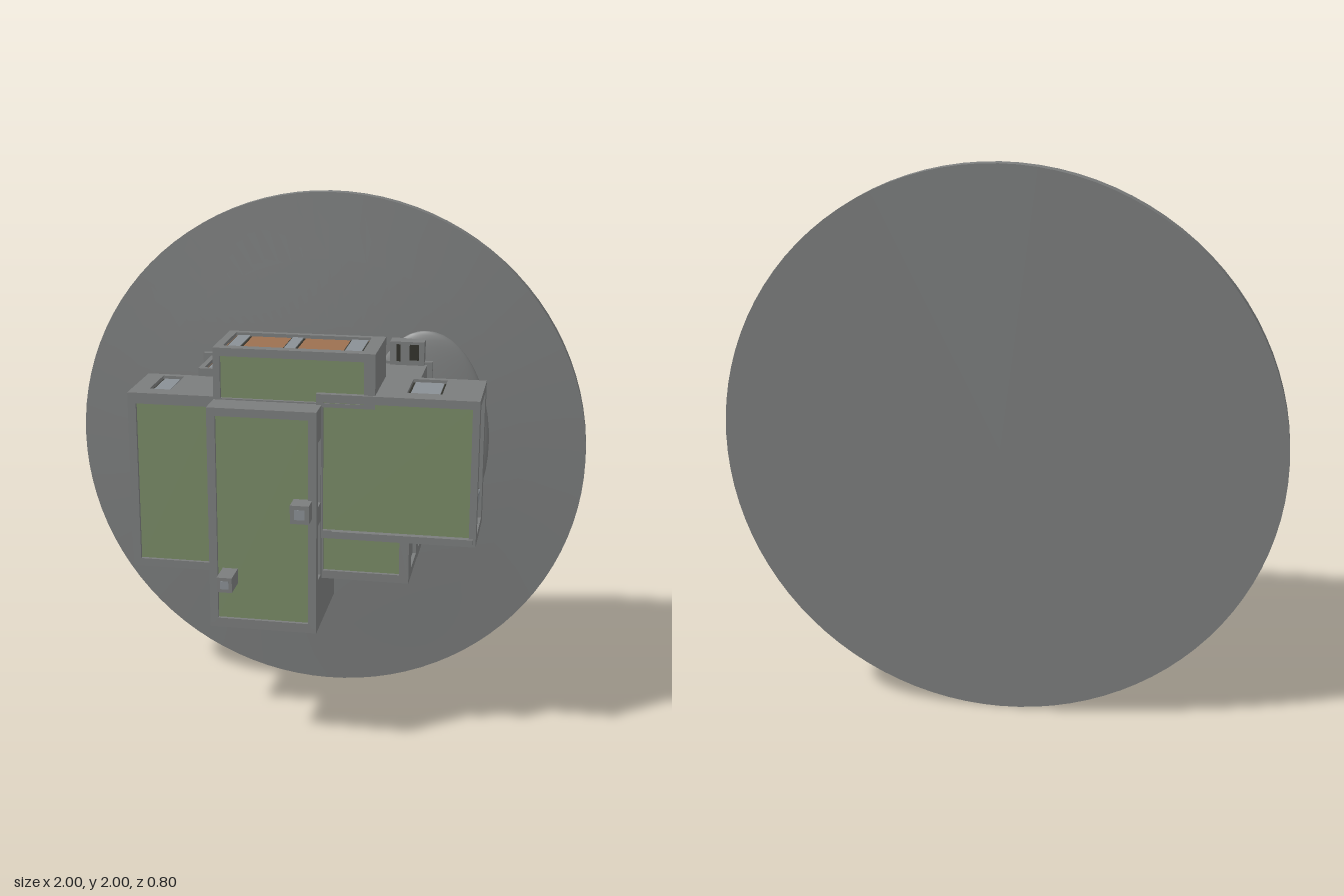
import * as THREE from 'three';
import { toCreasedNormals } from 'three/addons/utils/BufferGeometryUtils.js';

const paint = (name, color) => Object.assign(new THREE.MeshStandardMaterial({ color }), { name });

export function createModel() {
  const grey = paint('hull grey', 0x7b7d7d);
  const pale = paint('pale slat grey', 0x8a9095);
  const green = paint('panel green', 0x788a66);
  const orange = paint('panel orange', 0x9c7050);
  const dark = paint('gap dark', 0x33332c);
  const model = new THREE.Group();
  const D = 0.016; // depth of the recessed panels

  function add(parent, name, geo, mat) {
    const m = new THREE.Mesh(geo, mat);
    m.name = name;
    parent.add(m);
    return m;
  }
  function block(parent, name, [x0, x1], [y0, y1], [z0, z1], mat) {
    const m = add(parent, name, new THREE.BoxGeometry(x1 - x0, y1 - y0, z1 - z0), mat);
    m.position.set((x0 + x1) / 2, (y0 + y1) / 2, (z0 + z1) / 2);
    return m;
  }
  function rectPoints([a0, a1], [b0, b1]) {
    return [[a0, b0], [a1, b0], [a1, b1], [a0, b1]].map(p => new THREE.Vector2(...p));
  }

  // Each side: outward axis, the two in-plane axes with signs, and the turn from +z
  const sides = {
    front: { axis: 2, sign: 1, u: [0, 1], v: [1, 1], rot: [0, 0] },
    left: { axis: 0, sign: 1, u: [2, -1], v: [1, 1], rot: [0, Math.PI / 2] },
    right: { axis: 0, sign: -1, u: [2, 1], v: [1, 1], rot: [0, -Math.PI / 2] },
    top: { axis: 1, sign: 1, u: [0, 1], v: [2, -1], rot: [-Math.PI / 2, 0] },
    bottom: { axis: 1, sign: -1, u: [0, 1], v: [2, 1], rot: [Math.PI / 2, 0] },
  };
  const flip = ([a, b], s) => (s > 0 ? [a, b] : [-b, -a]);

  // Box with framed, recessed panels; a panel is [uRange, vRange, material, slats]
  function module(name, xr, yr, zr, faces) {
    const group = new THREE.Group();
    group.name = name;
    const range = [xr, yr, zr];
    const core = range.map(r => [...r]);
    for (const [key, panels] of Object.entries(faces)) {
      const { axis, sign, u, v, rot } = sides[key];
      core[axis][sign > 0 ? 1 : 0] -= sign * D;
      const outer = sign > 0 ? range[axis][1] : -range[axis][0];
      const face = new THREE.Group();
      face.name = key + 'Face';
      face.rotation.set(rot[0], rot[1], 0);
      const rect = (a, b) => rectPoints(flip(a, u[1]), flip(b, v[1]));
      const shape = new THREE.Shape(rect(range[u[0]], range[v[0]]));
      for (const [a, b] of panels) shape.holes.push(new THREE.Path(rect(a, b)));
      const frame = add(face, 'frame', new THREE.ExtrudeGeometry(shape, { depth: D, bevelEnabled: false }), grey);
      frame.position.z = outer - D;
      const plate = (label, a, b, mat, height) => {
        const [u0, u1] = flip(a, u[1]), [v0, v1] = flip(b, v[1]);
        block(face, label, [u0, u1], [v0, v1], [outer - D, outer - D + height], mat);
      };
      for (const [a, b, mat, slats = []] of panels) {
        plate('panel', a, b, mat, 0.003);
        for (const [sa, sb] of slats) {
          plate('slatEdge', sa.map((t, i) => t + (i ? 0.006 : -0.006)), sb, dark, 0.005);
          plate('slat', sa, sb, pale, 0.009);
        }
      }
      group.add(face);
    }
    block(group, 'core', core[0], core[1], core[2], grey);
    model.add(group);
  }

  // Round back shield, slightly domed to the front
  const profile = [[0, -0.4], [1, -0.4], [1, -0.355], [0.75, -0.338], [0.5, -0.318], [0.35, -0.312], [0, -0.31]];
  const disc = new THREE.LatheGeometry(profile.map(p => new THREE.Vector2(...p)), 96);
  const shield = add(model, 'shield', toCreasedNormals(disc.rotateX(Math.PI / 2), 0.5), grey);
  shield.position.y = 1;
  const mound = add(model, 'shieldMound', new THREE.SphereGeometry(1, 40, 24), grey);
  mound.scale.set(0.25, 0.43, 0.045);
  mound.position.set(0.38, 1.06, -0.325);

  // Rear housing and its mounting flange
  module('rearHousing', [-0.45, 0.39], [0.665, 1.37], [-0.28, -0.07], {
    left: [[[-0.25, -0.095], [0.7, 1.26], orange, [[[-0.25, -0.1], [1.19, 1.25]], [[-0.25, -0.1], [0.88, 0.945]]]]],
    right: [[[-0.25, -0.095], [0.7, 1.26], grey]],
    top: [
      [[-0.43, -0.05], [-0.255, -0.09], orange, [[[-0.42, -0.35], [-0.25, -0.1]], [[-0.13, -0.06], [-0.25, -0.1]]]],
      [[0.11, 0.21], [-0.255, -0.09], dark, [[[0.12, 0.17], [-0.25, -0.1]]]],
    ].map(([a, b, ...rest]) => [a, b, ...rest]),
  });
  block(model, 'flange', [-0.48, 0.41], [0.65, 1.38], [-0.295, -0.272], grey);
  block(model, 'flangeGap', [-0.45, 0.39], [0.66, 1.37], [-0.33, -0.295], dark);

  // Wings and upper box around the central door
  module('rightWing', [-0.645, -0.32], [0.67, 1.34], [-0.075, 0.205], {
    front: [[[-0.615, -0.335], [0.7, 1.3], green]],
    top: [[[-0.58, -0.5], [-0.05, 0.14], dark, [[[-0.57, -0.51], [-0.035, 0.125]]]]],
    right: [[[-0.03, 0.16], [0.72, 1.29], grey, [[[0.03, 0.05], [1.1, 1.25]], [[-0.02, 0.12], [0.94, 0.97]]]]],
  });
  module('leftWing', [0.05, 0.63], [0.83, 1.37], [-0.08, 0.215], {
    front: [[[0.075, 0.605], [0.86, 1.34], green]],
    top: [[[0.365, 0.49], [-0.055, 0.14], dark, [[[0.375, 0.48], [-0.04, 0.125]]]]],
    left: [[[-0.025, 0.165], [0.86, 1.34], orange, [[[0.085, 0.105], [1.18, 1.31]], [[-0.015, 0.125], [0.94, 0.975]]]]],
  });
  module('lowerBox', [0.05, 0.39], [0.67, 0.84], [-0.075, 0.205], {
    front: [[[0.075, 0.355], [0.7, 0.83], green]],
    left: [[[-0.03, 0.13], [0.7, 0.8], grey]],
  });
  module('upperBox', [-0.325, 0.26], [1.32, 1.52], [-0.07, 0.205], {
    front: [[[-0.3, 0.22], [1.335, 1.49], green]],
    top: [[[-0.295, 0.21], [-0.045, 0.165], orange, [
      [[-0.285, -0.24], [-0.035, 0.15]], [[-0.08, -0.04], [-0.035, 0.15]], [[0.14, 0.2], [-0.035, 0.15]]]]],
  });
  block(model, 'wingRail', [0.11, 0.62], [0.835, 0.86], [0.2, 0.225], grey);

  // Central door box
  module('door', [-0.325, 0.07], [0.495, 1.33], [-0.07, 0.315], {
    front: [[[-0.295, 0.04], [0.53, 1.3], green]],
    left: [[[0.225, 0.28], [0.97, 1.21], grey], [[0.225, 0.28], [0.69, 0.9], grey]],
    bottom: [[[-0.27, 0.02], [-0.03, 0.27], grey]],
  });

  // Door knobs
  for (const [x, y, s, tip] of [[0.02, 0.97, 0.034, 0.375], [-0.25, 0.695, 0.028, 0.4]]) {
    block(model, 'knob', [x - s, x + s], [y - s, y + s], [0.295, tip], grey);
    block(model, 'knobFace', [x - s * 0.55, x + s * 0.55], [y - s * 0.55, y + s * 0.55], [tip - 0.004, tip + 0.001], pale);
  }

  // Brackets on the shield
  block(model, 'upperBracket', [0.25, 0.38], [1.36, 1.46], [-0.32, -0.255], grey);
  block(model, 'upperBracketSlot', [0.275, 0.29], [1.385, 1.45], [-0.26, -0.252], dark);
  block(model, 'upperBracketSlot', [0.325, 0.36], [1.39, 1.45], [-0.26, -0.252], dark);
  block(model, 'lowerBracket', [0.38, 0.5], [0.735, 0.84], [-0.32, -0.27], grey);
  block(model, 'lowerBracketRib', [0.44, 0.46], [0.73, 0.84], [-0.28, -0.26], pale);

  return model;
}
